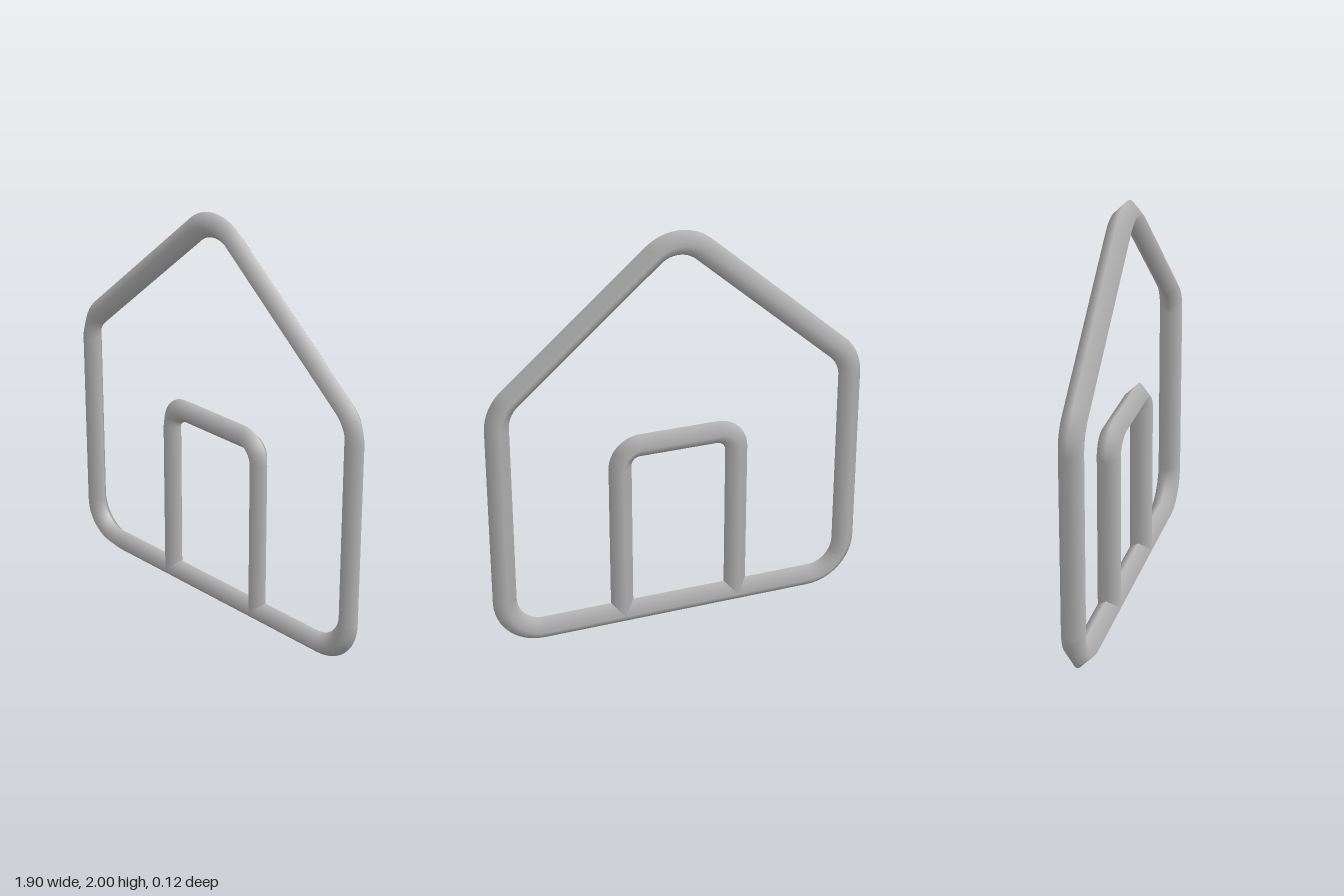
import * as THREE from 'three';

// Curve that visits exact stops, so straight runs stay straight and bends stay round
class StopCurve extends THREE.Curve {
  constructor(stops, closed) {
    super();
    this.stops = stops;
    this.segments = closed ? stops.length : stops.length - 1;
  }
  stop(u) { return this.stops[Math.round(u * this.segments) % this.stops.length]; }
  getPointAt(u, target = new THREE.Vector3()) { return target.copy(this.stop(u).point); }
  getTangentAt(u, target = new THREE.Vector3()) { return target.copy(this.stop(u).tangent); }
}

// Polyline in the xy plane with rounded corners
function roundedPath(corners, radius, closed, steps = 12) {
  const pts = corners.map(([x, y]) => new THREE.Vector2(x, y));
  const n = pts.length;
  const stops = [];
  const add = (x, y, angle) => stops.push({
    point: new THREE.Vector3(x, y, 0),
    tangent: new THREE.Vector3(Math.cos(angle), Math.sin(angle), 0),
  });
  pts.forEach((p, i) => {
    const before = pts[(i + n - 1) % n], after = pts[(i + 1) % n];
    const inDir = p.clone().sub(before).normalize();
    const outDir = after.clone().sub(p).normalize();
    if (!closed && i === 0) return add(p.x, p.y, outDir.angle());
    if (!closed && i === n - 1) return add(p.x, p.y, inDir.angle());
    const turn = Math.atan2(inDir.cross(outDir), inDir.dot(outDir));
    const side = Math.sign(turn);
    const start = p.clone().addScaledVector(inDir, -radius * Math.tan(Math.abs(turn) / 2));
    const cx = start.x - inDir.y * radius * side, cy = start.y + inDir.x * radius * side;
    for (let k = 0; k <= steps; k++) {
      const a = inDir.angle() + turn * k / steps;
      add(cx + Math.sin(a) * radius * side, cy - Math.cos(a) * radius * side, a);
    }
  });
  return new StopCurve(stops, closed);
}

export function createModel() {
  const group = new THREE.Group();
  group.name = 'houseOutline';
  const grey = new THREE.MeshStandardMaterial({ color: 0xb8b8b8 });
  grey.name = 'light grey';

  // Four-sided bar with smooth shading, its ridges facing front and back
  const bar = (name, curve, radius, closed) => {
    const mesh = new THREE.Mesh(new THREE.TubeGeometry(curve, curve.segments, radius, 4, closed), grey);
    mesh.name = name;
    group.add(mesh);
  };

  // Floor, walls and gabled roof in one closed loop
  const house = [[-0.89, 0.06], [0.89, 0.06], [0.89, 1.24], [0, 2.0], [-0.89, 1.24]];
  bar('houseFrame', roundedPath(house, 0.19, true), 0.059, true);

  // Door arch rising from the floor bar
  const door = [[-0.298, 0.06], [-0.298, 0.953], [0.298, 0.953], [0.298, 0.06]];
  bar('doorFrame', roundedPath(door, 0.1, false), 0.058, false);

  return group;
}
